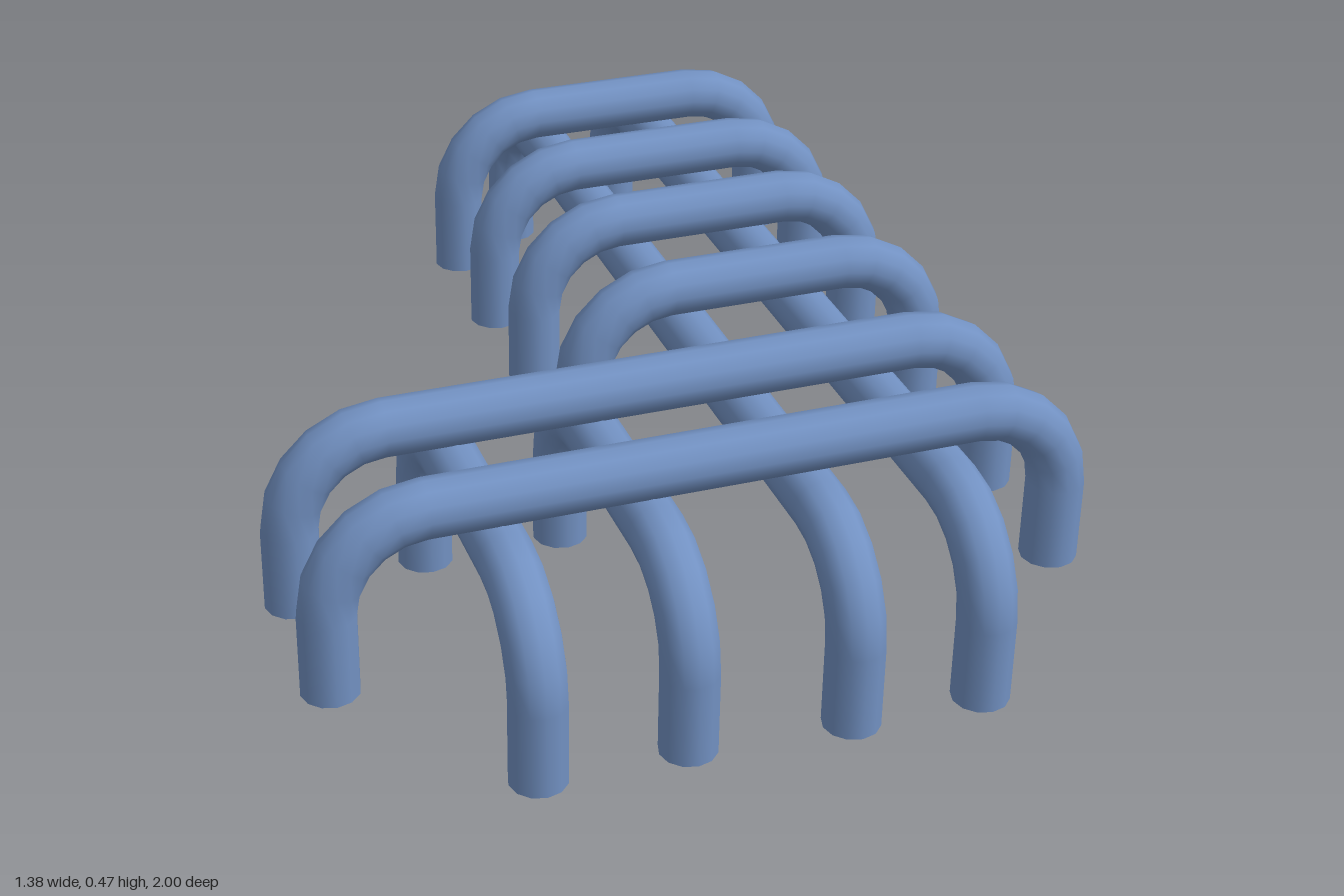
import * as THREE from 'three';
import { mergeGeometries } from 'three/addons/utils/BufferGeometryUtils.js';

const TUBE = 0.05, BEND = 0.165, SIDES = 12;

// Staple-shaped tube in the xy plane: two legs, two quarter bends, one top bar.
// a and b are the leg centres, foot and top the heights of the feet and bar centre.
function hoopGeometry(a, b, foot, top) {
  const legHeight = top - BEND - foot;
  const barLength = b - a - 2 * BEND;
  const parts = [];
  for (const x of [a, b]) {
    parts.push(new THREE.CylinderGeometry(TUBE, TUBE, legHeight, SIDES)
      .translate(x, foot + legHeight / 2, 0));
  }
  const bend = () => new THREE.TorusGeometry(BEND, TUBE, SIDES, 5, Math.PI / 2);
  parts.push(bend().translate(b - BEND, top - BEND, 0));
  parts.push(bend().rotateZ(Math.PI / 2).translate(a + BEND, top - BEND, 0));
  parts.push(new THREE.CylinderGeometry(TUBE, TUBE, barLength, SIDES, 1, true)
    .rotateZ(Math.PI / 2).translate((a + b) / 2, top, 0));
  return mergeGeometries(parts);
}

export function createModel() {
  const group = new THREE.Group();
  const blue = new THREE.MeshStandardMaterial({ color: 0x7291c2 });
  blue.name = 'steel blue';

  const add = (name, geometry) => {
    const mesh = new THREE.Mesh(geometry, blue);
    mesh.name = name;
    group.add(mesh);
    return mesh;
  };

  // Lower hoops running front to back: [x, back leg z, front leg z, foot height]
  const lower = [
    [0.178, -0.95, 0.945, 0],
    [0.412, -0.95, 0.945, 0],
    [-0.36, 0.265, 0.935, 0.006],
    [-0.105, 0.265, 0.935, 0.006],
  ];
  lower.forEach(([x, back, front, foot], i) => {
    const geometry = hoopGeometry(-front, -back, foot, 0.32 + foot * 0.6);
    geometry.rotateY(Math.PI / 2); // +x turns to -z
    add(`lowerHoop${i + 1}`, geometry).position.x = x;
  });

  // Upper hoops running side to side: [z, right leg x]
  const upper = [
    [0.725, -0.645], [0.465, -0.645],
    [0.15, -0.025], [-0.14, -0.025], [-0.4, -0.025], [-0.66, -0.025],
  ];
  upper.forEach(([z, right], i) => {
    add(`upperHoop${i + 1}`, hoopGeometry(right, 0.64, 0.1, 0.415)).position.z = z;
  });

  return group;
}
